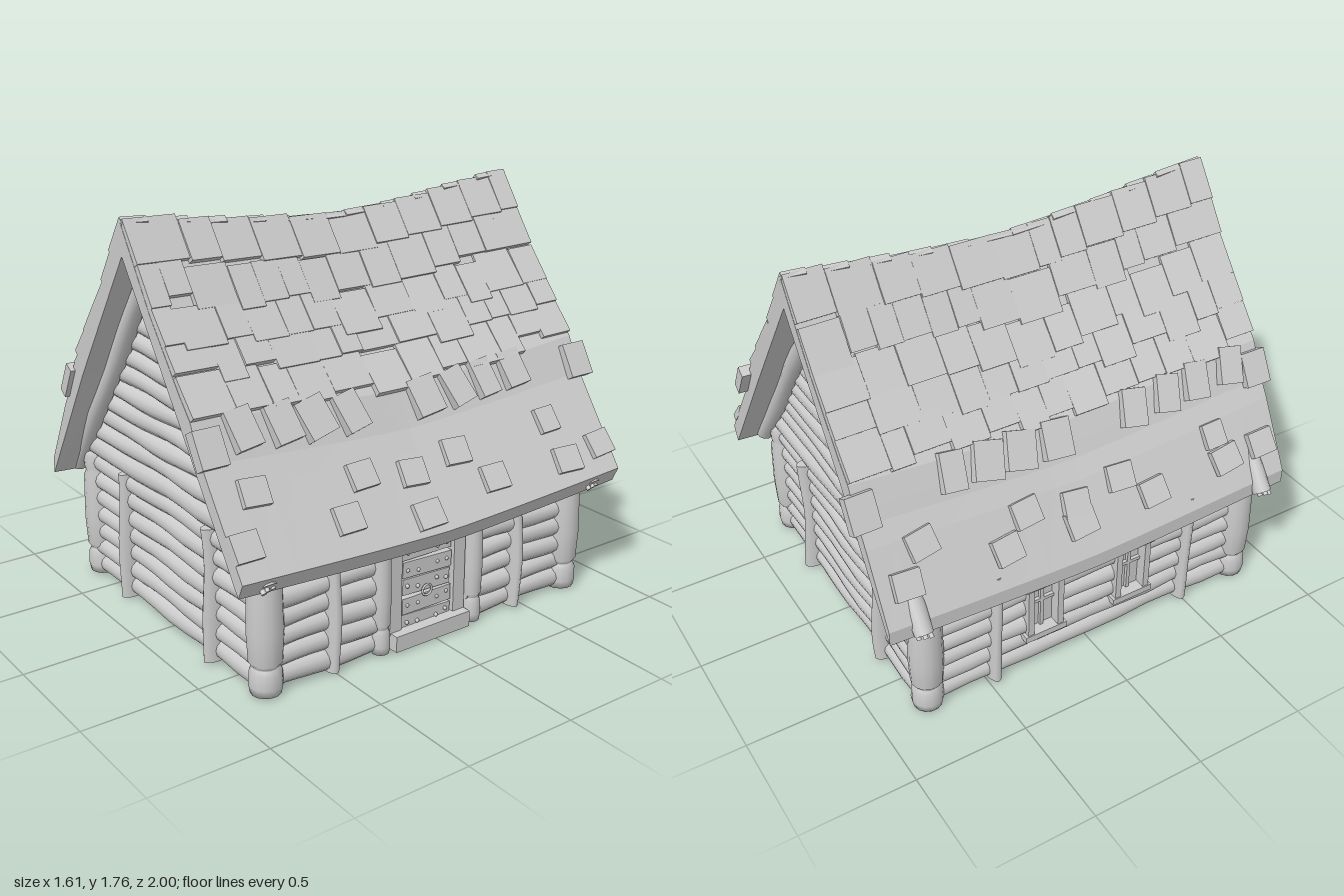
import * as THREE from 'three';

const V = (x, y, z) => new THREE.Vector3(x, y, z);
const mat = new THREE.MeshStandardMaterial({ color: 0xcccccc });
const flat = new THREE.MeshStandardMaterial({ color: 0xcccccc, flatShading: true });
const MID = 0.015; // middle of the house along z

let seed = 7;
const rnd = (a = 0, b = 1) => {
  seed = (seed * 16807) % 2147483647;
  return a + (b - a) * (seed / 2147483647);
};

function add(parent, name, geo, x = 0, y = 0, z = 0, m = mat) {
  const mesh = new THREE.Mesh(geo, m);
  mesh.name = name;
  mesh.position.set(x, y, z);
  parent.add(mesh);
  return mesh;
}

const box = (parent, name, w, h, d, x, y, z) =>
  add(parent, name, new THREE.BoxGeometry(w, h, d), x, y, z);

// Slightly crooked log between two points
function log(parent, name, a, b, r) {
  const len = a.distanceTo(b), ph = rnd(0, 6);
  const geo = new THREE.CylinderGeometry(r, r, len, 12, 10);
  const p = geo.attributes.position;
  for (let i = 0; i < p.count; i++) {
    const y = p.getY(i);
    const k = 1 + 0.07 * Math.sin(y * 13 + ph);
    p.setXYZ(i, p.getX(i) * k + 0.004 * Math.sin(y * 7 + ph), y, p.getZ(i) * k + 0.004 * Math.cos(y * 9 + ph));
  }
  const mesh = add(parent, name, geo);
  mesh.position.copy(a).add(b).multiplyScalar(0.5);
  mesh.quaternion.setFromUnitVectors(V(0, 1, 0), b.clone().sub(a).normalize());
  return mesh;
}

// Round post with a notched foot and neck
function footedPost(parent, name, x, z, r, h) {
  const prof = [[0, 0], [0.88, 0], [0.97, 0.06], [0.93, 0.16], [0.76, 0.19], [0.76, 0.2], [0.96, 0.23], [1.05, 0.45], [0.98, 0.8], [0.84, 0.84], [0.92, 0.88], [0.9, 0.97], [0.78, 1], [0, 1]];
  return add(parent, name, new THREE.LatheGeometry(prof.map(([a, b]) => new THREE.Vector2(a * r, b * h)), 14), x, 0, z);
}

// Roof surface: half profile, then sag along the ridge and a shorter eave on -x
const OUT = [[0, 1.73], [0.2, 1.415], [0.4, 1.155], [0.47, 1.075], [0.515, 0.985], [0.545, 0.925], [0.6, 0.845], [0.805, 0.55]];
const IN = [[0.775, 0.485], [0.4, 1.03], [0, 1.6]];
function bend(v) {
  const ax = Math.abs(v.x), t = Math.min(1, Math.abs(v.z) / 0.97);
  v.y -= (0.1 - 0.07 * ax) * (1 - t ** 1.3);
  if (v.x < -0.5) v.x = -0.5 - Math.min(0.25, (-0.5 - v.x) * 0.92);
  return v;
}
function roofPoint(side, x, z) {
  let i = 0;
  while (i < OUT.length - 2 && x > OUT[i + 1][0]) i++;
  const [x0, y0] = OUT[i], [x1, y1] = OUT[i + 1];
  return bend(V(side * x, y0 + (y1 - y0) * (x - x0) / (x1 - x0), z));
}
function shingle(parent, side, x, z, len, wid, thick, lift, twist = 0) {
  const c = roofPoint(side, x, z);
  const X = roofPoint(side, x + 0.03, z).sub(roofPoint(side, x - 0.03, z)).normalize();
  const tz = roofPoint(side, x, z + 0.03).sub(roofPoint(side, x, z - 0.03));
  const Y = tz.cross(X).normalize();
  if (Y.y < 0) Y.negate();
  const Z = X.clone().cross(Y);
  const m = box(parent, 'shingle', len, thick, wid, 0, 0, 0);
  m.quaternion.setFromRotationMatrix(new THREE.Matrix4().makeBasis(X, Y, Z));
  m.rotateY(twist);
  m.rotateZ(lift);
  m.position.copy(c).addScaledVector(Y, 0.008);
}

function buildRoof() {
  const roof = new THREE.Group();
  roof.name = 'roof';
  const right = [...OUT, ...IN];
  const left = [...IN.slice(0, 2).reverse(), ...OUT.slice(1).reverse()].map(([x, y]) => [-x, y]);
  const pts = [...right, ...left].reverse().map(([x, y]) => new THREE.Vector2(x, y));
  const geo = new THREE.ExtrudeGeometry(new THREE.Shape(pts), { depth: 1.94, steps: 16, bevelEnabled: false });
  geo.translate(0, 0, -0.96);
  const p = geo.attributes.position;
  for (let i = 0; i < p.count; i++) {
    const v = bend(V(p.getX(i), p.getY(i), p.getZ(i)));
    p.setXYZ(i, v.x, v.y, v.z);
  }
  geo.computeVertexNormals();
  add(roof, 'roofSlab', geo, 0, 0, 0, flat);

  for (const side of [1, -1]) {
    // dense upper courses
    for (const x of [0.04, 0.135, 0.225, 0.31, 0.395]) {
      let z = -0.96;
      while (z < 0.97) {
        let w = rnd(0.1, 0.2);
        if (z + w > 0.9) w = 0.98 - z;
        const shift = x < 0.1 ? 0 : rnd(-0.02, 0.02);
        shingle(roof, side, x + shift, z + w / 2, rnd(0.17, 0.19), w - 0.002, rnd(0.024, 0.036), rnd(0.03, 0.06));
        z += w;
      }
    }
    // raised course at the break, its end shingles overhanging the gables
    for (const z of [0.78, 0.6, 0.45, 0.28, -0.1, -0.27, -0.42, -0.58])
      shingle(roof, side, 0.495, z + (side < 0 ? 0.04 : 0), 0.16, rnd(0.1, 0.14), 0.05, 0.1, side * rnd(0.1, 0.25));
    for (const z of [0.94, -0.94]) shingle(roof, side, 0.52, z, 0.15, 0.12, 0.05, 0.05);
  }
  // scattered lower shingles: x, z, width
  const loose = [[0.62, 0.81, 0.12], [0.73, 0.92, 0.12], [0.72, 0.45, 0.12], [0.63, 0.32, 0.12], [0.65, 0.08, 0.12], [0.755, 0.08, 0.13],
    [0.63, -0.16, 0.12], [0.72, -0.3, 0.12], [0.63, -0.67, 0.1], [0.74, -0.7, 0.13], [0.73, -0.9, 0.12]];
  for (const [x, z, w] of loose) {
    shingle(roof, 1, x, z, 0.11, w, 0.03, 0.03, rnd(-0.08, 0.08));
    shingle(roof, -1, Math.min(x, 0.7), -z * 0.95 + 0.03, 0.11, w, 0.03, 0.02, rnd(-0.15, 0.15));
  }
  return roof;
}

function buildDoor() {
  const door = new THREE.Group();
  door.name = 'door';
  box(door, 'doorSill', 0.1, 0.07, 0.39, 0.69, 0.035, 0.02);
  for (const z of [0.19, -0.145]) box(door, 'doorJamb', 0.08, 0.4, 0.06, 0.66, 0.26, z);
  box(door, 'doorLintel', 0.09, 0.05, 0.4, 0.66, 0.465, 0.02);
  for (let i = 0; i < 5; i++) {
    const y = 0.085 + i * 0.079;
    const board = box(door, 'doorBoard', 0.035 + (i % 2) * 0.012, 0.07, rnd(0.245, 0.265), 0.67, y, 0.023);
    board.rotation.x = rnd(-0.06, 0.06);
    for (const z of [-0.08, -0.03, 0.07, 0.125])
      add(door, 'rivet', new THREE.SphereGeometry(0.009, 8, 6), 0.692, y + rnd(-0.01, 0.01), z);
  }
  add(door, 'doorRing', new THREE.TorusGeometry(0.024, 0.005, 6, 16), 0.703, 0.215, 0.03).rotation.y = Math.PI / 2;
  return door;
}

function buildWindow(z) {
  const win = new THREE.Group();
  win.name = 'window';
  box(win, 'pane', 0.02, 0.25, 0.13, 0, 0, 0);
  for (const s of [1, -1]) {
    box(win, 'windowJamb', 0.12, 0.28, 0.028, 0, 0, s * 0.072);
    box(win, 'windowRail', 0.13, 0.03, 0.2, 0, s * 0.138, 0);
  }
  box(win, 'mullion', 0.05, 0.25, 0.016, 0, 0, 0);
  box(win, 'crossBar', 0.05, 0.016, 0.13, 0, 0.02, 0);
  win.position.set(-0.665, 0.3, z);
  return win;
}

export function createModel() {
  const model = new THREE.Group();
  model.name = 'logCabin';
  const walls = new THREE.Group();
  walls.name = 'walls';
  model.add(walls, buildRoof(), buildDoor(), buildWindow(-0.23), buildWindow(0.21));

  // gable ends
  for (const s of [1, -1]) {
    const z = MID + s * 0.785;
    for (let i = 0; i < 18; i++) {
      const y = 0.047 + i * 0.081;
      const half = Math.min(0.66, (1.54 - y) / 1.4);
      log(walls, 'gableLog', V(-half, y, z), V(half, y, z), i === 7 ? 0.052 : 0.045);
    }
    for (const x of [-0.35, 0.345]) log(walls, 'gablePost', V(x, 0, z + s * 0.02), V(x, 0.575, z + s * 0.02), 0.029).scale.z = 2;
    for (const x of [-0.67, 0.67]) footedPost(walls, 'cornerPost', x, z, 0.071, 0.58);
    // rafters following the gable
    for (const x of [-1, 1]) {
      const b = V(x * 0.77, 0.495, MID + s * 0.84);
      log(walls, 'gableRafter', V(-x * 0.02, 1.565, MID + s * 0.84), b, 0.041);
      for (const d of [-0.02, 0.005, 0.025])
        log(walls, 'rafterSplinter', b.clone().add(V(-x * 0.04, 0.05, d)), b.clone().add(V(x * (0.018 + d * 0.3), -0.01, d)), 0.01);
    }
  }

  // long walls, broken by the door and the windows
  for (let i = 0; i < 7; i++) {
    const y = 0.047 + i * 0.083;
    const side = (x, spans) => spans.forEach(([a, b]) => log(walls, 'sideLog', V(x, y, a), V(x, y, b), 0.046));
    side(0.66, i < 5 ? [[0.77, 0.23], [-0.19, -0.74]] : [[0.77, -0.74]]);
    side(-0.66, i > 1 && i < 5 ? [[0.77, 0.28], [0.14, -0.16], [-0.3, -0.74]] : [[0.77, -0.74]]);
  }
  for (const s of [1, -1])
    for (const z of [0.5, -0.46]) log(walls, 'sidePost', V(s * 0.675, 0, z), V(s * 0.675, 0.57, z), 0.028).scale.x = 2;
  for (const z of [0.26, -0.225]) footedPost(walls, 'doorPost', 0.69, z, 0.042, 0.56);
  return model;
}
